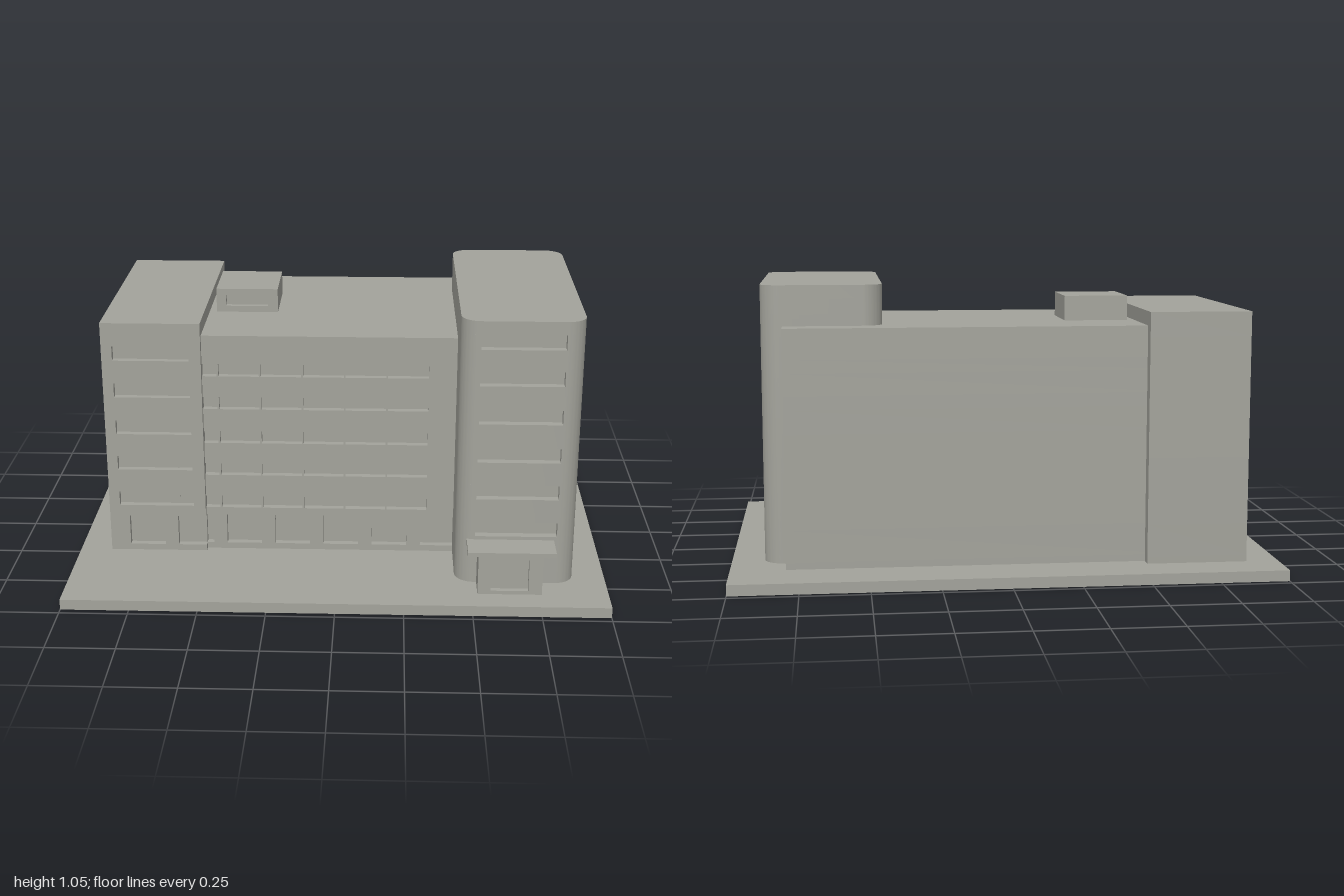
import * as THREE from 'three';
import { mergeGeometries, toCreasedNormals } from 'three/addons/utils/BufferGeometryUtils.js';

const concrete = new THREE.MeshStandardMaterial({ color: 0xa3a39b });
concrete.name = 'concrete grey';

const GROUND = 0.04;
const WINDOW_ROWS = [0.256, 0.404, 0.549, 0.697, 0.842, 0.978];

// Floor plan of a block, with window recesses cut into its front, right and left walls
function plan({ x0, x1, z0, z1, r = 0, depth = 0.02 }, { front = [], right = [], left = [] } = {}) {
  const s = new THREE.Shape();
  const f = -z1, b = -z0;
  s.moveTo(x0 + r, f);
  for (const [a, e] of front) {
    s.lineTo(a, f);
    s.lineTo(a, f + depth);
    s.lineTo(e, f + depth);
    if (e < x1) s.lineTo(e, f);
  }
  const openCorner = front.some(([, e]) => e >= x1);
  if (!openCorner) s.lineTo(x1 - r, f);
  if (r) s.absarc(x1 - r, f + r, r, -Math.PI / 2, 0);
  for (const [near, far] of right) {
    s.lineTo(x1, -near);
    s.lineTo(x1 - depth, -near);
    s.lineTo(x1 - depth, -far);
    s.lineTo(x1, -far);
  }
  s.lineTo(x1, b - r);
  if (r) s.absarc(x1 - r, b - r, r, 0, Math.PI / 2);
  s.lineTo(x0 + r, b);
  if (r) s.absarc(x0 + r, b - r, r, Math.PI / 2, Math.PI);
  for (const [far, near] of left) {
    s.lineTo(x0, -far);
    s.lineTo(x0 + depth, -far);
    s.lineTo(x0 + depth, -near);
    s.lineTo(x0, -near);
  }
  if (r) {
    s.lineTo(x0, f + r);
    s.absarc(x0 + r, f + r, r, Math.PI, Math.PI * 1.5);
  } else s.lineTo(x0, f);
  return s;
}

// Stack solid layers and window layers from y0 to y1
function block(name, size, y0, y1, bands = []) {
  const layers = [];
  const add = (lo, hi, cuts) => {
    const g = new THREE.ExtrudeGeometry(plan(size, cuts), {
      depth: hi - lo, bevelEnabled: false, curveSegments: 10,
    });
    g.rotateX(-Math.PI / 2);
    g.translate(0, lo, 0);
    layers.push(g);
  };
  let y = y0;
  for (const { lo, hi, ...cuts } of bands) {
    add(y, lo);
    add(lo, hi, cuts);
    y = hi;
  }
  add(y, y1);
  const mesh = new THREE.Mesh(toCreasedNormals(mergeGeometries(layers), 0.5), concrete);
  mesh.name = name;
  return mesh;
}

const row = (centre, height, cuts) => ({ lo: centre - height / 2, hi: centre + height / 2, ...cuts });

// Evenly spaced window openings along a wall
const columns = (start, step, width, count) =>
  Array.from({ length: count }, (_, i) => [start + i * step, start + i * step + width]);

export function createModel() {
  const building = new THREE.Group();
  building.name = 'building';

  // Ground slab
  building.add(block('groundSlab', { x0: -1, x1: 1, z0: -0.725, z1: 0.725 }, 0, GROUND));

  // Long middle wing: square ground floor windows and five rows of small ones
  const groundWindows = columns(-0.618, 0.1865, 0.134, 6);
  const smallWindows = columns(-0.608, 0.1585, 0.152, 6);
  building.add(block('middleWing',
    { x0: -0.64, x1: 0.8, z0: -0.53, z1: 0.28, depth: 0.025 }, GROUND, 0.908, [
      row(0.124, 0.12, { front: groundWindows }),
      ...[0.238, 0.373, 0.505, 0.642, 0.773].map((y) => row(y, 0.048, { front: smallWindows })),
    ]));

  // Square end wing, windows on the front and the outer side
  building.add(block('endWing',
    { x0: -0.88, x1: -0.51, z0: -0.575, z1: 0.303, depth: 0.025 }, GROUND, 0.96, [
      row(0.124, 0.12, { front: [[-0.805, -0.67], [-0.618, -0.51]] }),
      ...WINDOW_ROWS.slice(0, 5).map((y) =>
        row(y, 0.055, { front: [[-0.84, -0.555]], left: [[-0.433, 0.163]] })),
    ]));

  // Rounded tower, windows on the front and the outer side
  building.add(block('roundedTower',
    { x0: 0.44, x1: 0.88, z0: -0.43, z1: 0.535, r: 0.07, depth: 0.03 }, GROUND, 1.055,
    WINDOW_ROWS.map((y) => row(y, 0.056, { front: [[0.49, 0.81]], right: [[0.358, 0.102]] }))));

  // Entrance porch and its canopy
  building.add(block('entrancePorch',
    { x0: 0.52, x1: 0.755, z0: 0.5, z1: 0.63 }, GROUND, 0.198,
    [row(0.116, 0.124, { front: [[0.567, 0.705]] })]));
  building.add(block('entranceCanopy', { x0: 0.48, x1: 0.8, z0: 0.5, z1: 0.648 }, 0.198, 0.215));

  // Roof plant room
  building.add(block('roofPlantRoom',
    { x0: -0.482, x1: -0.245, z0: -0.275, z1: -0.022 }, 0.9, 1.0,
    [row(0.954, 0.044, { front: [[-0.445, -0.283]] })]));

  return building;
}
